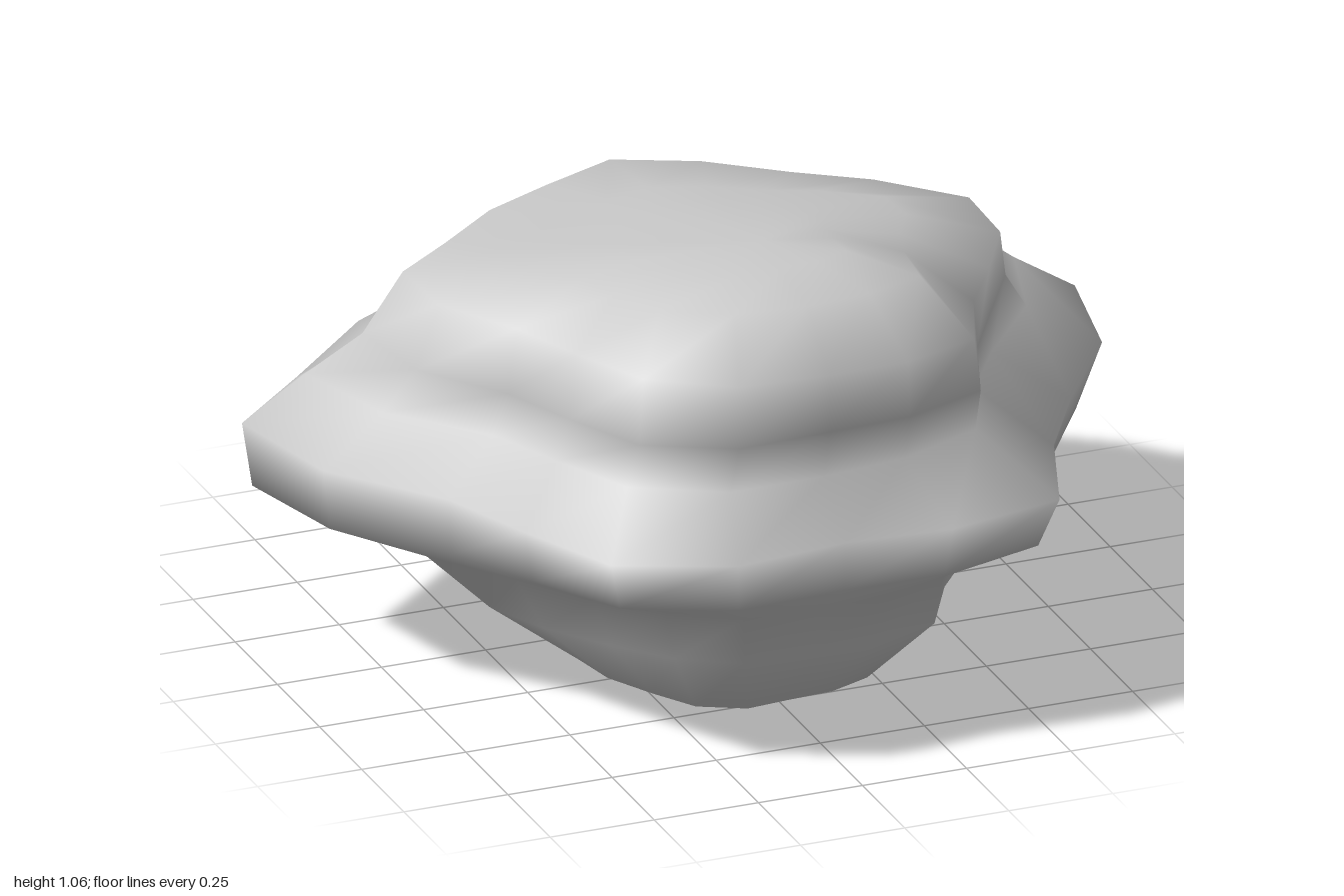
import * as THREE from 'three';

// Rough five-cornered outline [x, z]: back, left, front, right and round to the back
const OUTLINE = [
  [0, -0.93], [0.29, -0.81], [0.54, -0.62], [0.77, -0.46], [1, -0.21],
  [0.94, 0.1], [0.76, 0.36], [0.63, 0.58], [0.53, 0.86], [0.25, 0.92],
  [0, 0.9], [-0.27, 0.93], [-0.53, 0.82], [-0.64, 0.58], [-0.73, 0.35],
  [-0.93, 0.1], [-1, -0.21], [-0.79, -0.4], [-0.55, -0.63], [-0.29, -0.78],
];

// Each layer shrinks the outline towards (0, pivot), with one scale for every
// second outline point; tilt adds to y along x and z
const LAYERS = [
  // tapering underside
  { y: 0.075, pivot: 0.36, tilt: [0, -0.06], s: [0.22, 0.23, 0.26, 0.42, 0.37, 0.42, 0.41, 0.48, 0.33, 0.25] },
  { y: 0.2, pivot: 0.36, tilt: [0, 0], s: [0.52, 0.49, 0.48, 0.66, 0.59, 0.64, 0.56, 0.69, 0.54, 0.51] },
  { y: 0.33, pivot: 0.36, tilt: [0, 0], s: [0.73, 0.7, 0.68, 0.74, 0.62, 0.74, 0.62, 0.78, 0.74, 0.74] },
  // wide rim
  { y: 0.405, pivot: 0.36, tilt: [0, 0.03], s: [0.93, 0.92, 0.91, 0.94, 0.93, 0.99, 0.94, 0.99, 0.98, 0.96] },
  { y: 0.55, pivot: 0, tilt: [0, 0], s: [1, 1, 1, 1, 1, 1, 1, 1, 1, 1] },
  // waist
  { y: 0.66, pivot: 0, tilt: [0, 0], s: [0.73, 0.77, 0.84, 0.79, 0.77, 0.86, 0.81, 0.82, 0.86, 0.77] },
  // raised upper block
  { y: 0.78, pivot: 0.3, tilt: [0, 0], s: [0.76, 0.76, 0.71, 0.75, 0.75, 0.84, 0.79, 0.8, 0.76, 0.77] },
  { y: 0.91, pivot: 0.3, tilt: [-0.035, 0.01], s: [0.65, 0.66, 0.68, 0.75, 0.73, 0.84, 0.76, 0.77, 0.68, 0.66] },
  { y: 0.96, pivot: 0.2, tilt: [-0.02, 0.11], s: [0.42, 0.42, 0.45, 0.5, 0.58, 0.68, 0.59, 0.52, 0.48, 0.43] },
  { y: 0.985, pivot: 0.25, tilt: [0, 0.14], s: [0.3, 0.28, 0.22, 0.26, 0.34, 0.4, 0.37, 0.3, 0.25, 0.3] },
];

// One closed ring; points between two scales take their average
function ringPoints({ y, pivot, tilt, s }) {
  return OUTLINE.map(([x, z], i) => {
    const k = (s[Math.floor(i / 2)] + s[Math.ceil(i / 2) % s.length]) / 2;
    const px = x * k;
    const pz = pivot + (z - pivot) * k;
    return [px, y + tilt[0] * px + tilt[1] * pz, pz];
  });
}

// Skin the rings and close both ends with a single point
function rockGeometry() {
  const rings = LAYERS.map(ringPoints);
  const n = OUTLINE.length;
  const points = rings.flat();
  const bottom = points.push([-0.06, 0, 0.38]) - 1;
  const top = points.push([0.02, 1.06, 0.36]) - 1;
  const last = (rings.length - 1) * n;
  const index = [];
  for (let i = 0; i < n; i++) {
    const j = (i + 1) % n;
    for (let r = 0; r < last; r += n) {
      index.push(r + i, r + n + i, r + j, r + j, r + n + i, r + n + j);
    }
    index.push(bottom, i, j, top, last + j, last + i);
  }
  const geometry = new THREE.BufferGeometry();
  geometry.setAttribute('position', new THREE.Float32BufferAttribute(points.flat(), 3));
  geometry.setIndex(index);
  geometry.computeVertexNormals();
  return geometry;
}

export function createModel() {
  const stone = new THREE.MeshStandardMaterial({ color: 0xcccccc });
  stone.name = 'stone grey';
  const rock = new THREE.Mesh(rockGeometry(), stone);
  rock.name = 'rock';
  const group = new THREE.Group();
  group.name = 'boulder';
  group.add(rock);
  return group;
}
